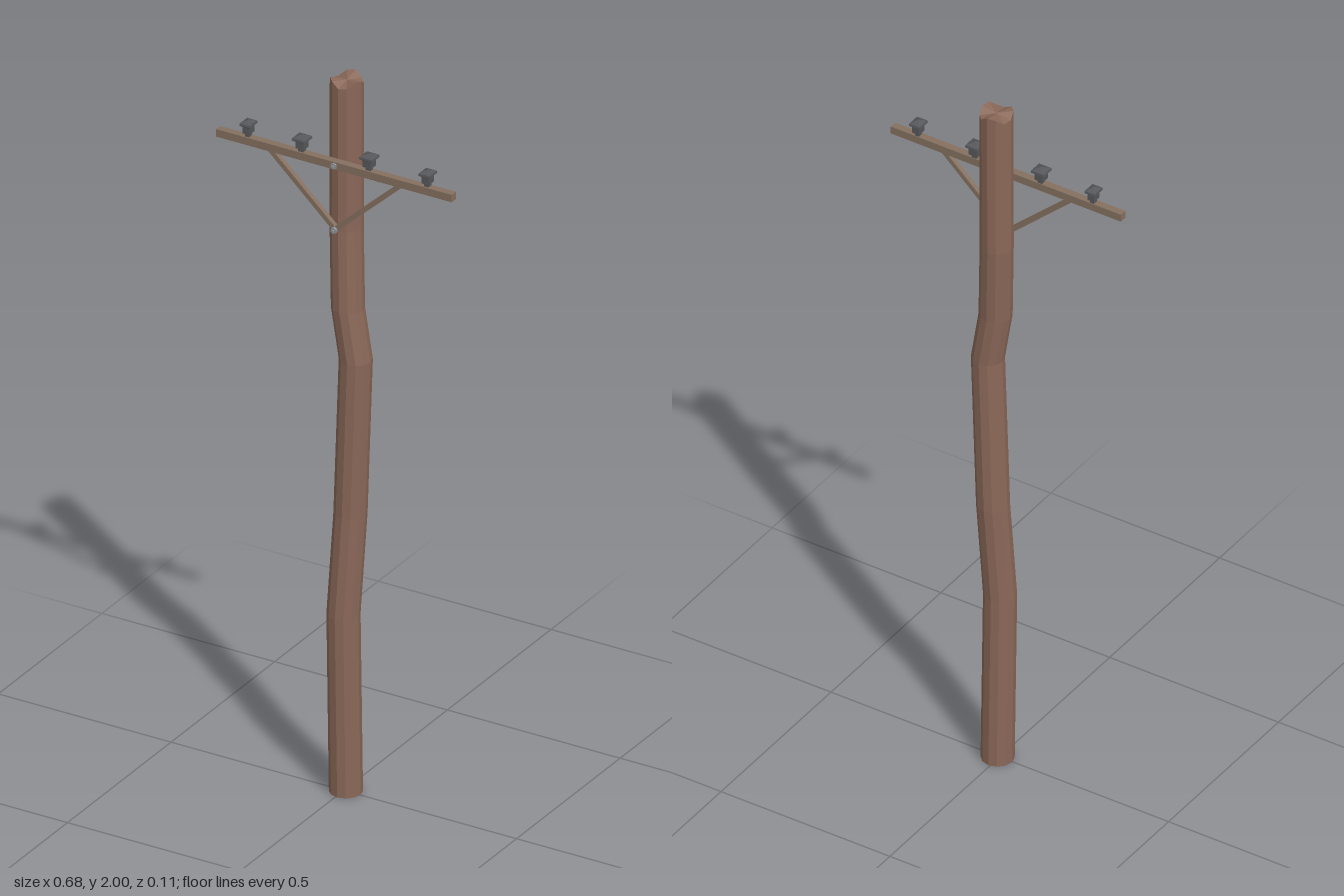
import * as THREE from 'three';

const mat = (color) => new THREE.MeshStandardMaterial({ color, flatShading: true });
const poleWood = mat(0x8a6858);
const armWood = mat(0x857060);
const ceramic = mat(0x55575a);
const steel = mat(0x8c9196);

const ARM_Y = 1.774, ARM_Z = 0.0375, BRACE_Y = 1.593;

function add(parent, name, geometry, material, x = 0, y = 0, z = 0) {
  const mesh = new THREE.Mesh(geometry, material);
  mesh.name = name;
  mesh.position.set(x, y, z);
  parent.add(mesh);
  return mesh;
}

// Crooked trunk: each ring of a cylinder is moved to a point of the bent centre line
function poleGeometry() {
  const line = [ // x, y, z
    [0.005, 0, -0.002], [0.001, 0.5, 0.003], [0.014, 0.78, -0.009], [0.033, 1.22, -0.003],
    [0.011, 1.36, -0.002], [0, 1.58, -0.014], [0, 1.988, -0.015],
  ];
  const rows = line.length - 1;
  const geometry = new THREE.CylinderGeometry(0.0425, 0.0425, 1, 12, rows);
  const p = geometry.attributes.position;
  for (let i = 0; i < p.count; i++) {
    const row = Math.round((p.getY(i) + 0.5) * rows);
    const [cx, cy, cz] = line[row];
    const x = p.getX(i), z = p.getZ(i);
    // Uneven, rough-sawn top rim
    const rough = row === rows ? Math.hypot(x, z) / 0.0425 * 0.01 * Math.sin(3 * Math.atan2(z, x) + 0.6) : 0;
    p.setXYZ(i, x + cx, cy + rough, z + cz);
  }
  return geometry;
}

// Square insulator: foot, neck, body and overhanging pyramid cap
function insulatorGeometry() {
  const profile = [[0, 0], [0.007, 0], [0.007, 0.008], [0.012, 0.01], [0.012, 0.028],
    [0.019, 0.033], [0.018, 0.039], [0, 0.046]];
  const c = Math.SQRT2;
  const points = profile.map(([r, y]) => new THREE.Vector2(r * c, y));
  return new THREE.LatheGeometry(points, 4, Math.PI / 4);
}

export function createModel() {
  const model = new THREE.Group();
  model.name = 'utilityPole';

  add(model, 'pole', poleGeometry(), poleWood);
  add(model, 'crossarm', new THREE.BoxGeometry(0.682, 0.021, 0.02), armWood, 0, ARM_Y, ARM_Z);

  // Insulators, slightly uneven in place and size
  const insulator = insulatorGeometry();
  for (const [x, s] of [[-0.254, 0.8], [-0.099, 1], [0.096, 1], [0.265, 0.85]]) {
    const mesh = add(model, 'insulator', insulator, ceramic, x, ARM_Y + 0.01, ARM_Z - 0.001);
    mesh.scale.set(s, 1, 1);
  }

  // Diagonal braces below the arm
  for (const side of [-1, 1]) {
    const dx = 0.19 * side, dy = ARM_Y - 0.006 - BRACE_Y;
    const brace = add(model, 'brace', new THREE.BoxGeometry(Math.hypot(dx, dy), 0.013, 0.013), armWood,
      dx / 2, BRACE_Y + dy / 2, ARM_Z);
    brace.rotation.z = Math.atan2(dy, dx);
  }

  // Bolts with a hexagonal washer and a protruding tip
  for (const y of [ARM_Y, BRACE_Y]) {
    const bolt = new THREE.Group();
    bolt.name = 'bolt';
    bolt.position.set(0, y, 0);
    bolt.rotation.x = Math.PI / 2;
    add(bolt, 'boltShank', new THREE.CylinderGeometry(0.004, 0.004, 0.037, 6), steel, 0, 0.0385, 0);
    add(bolt, 'boltWasher', new THREE.CylinderGeometry(0.009, 0.009, 0.009, 6), steel, 0, 0.0475, 0);
    model.add(bolt);
  }
  return model;
}
